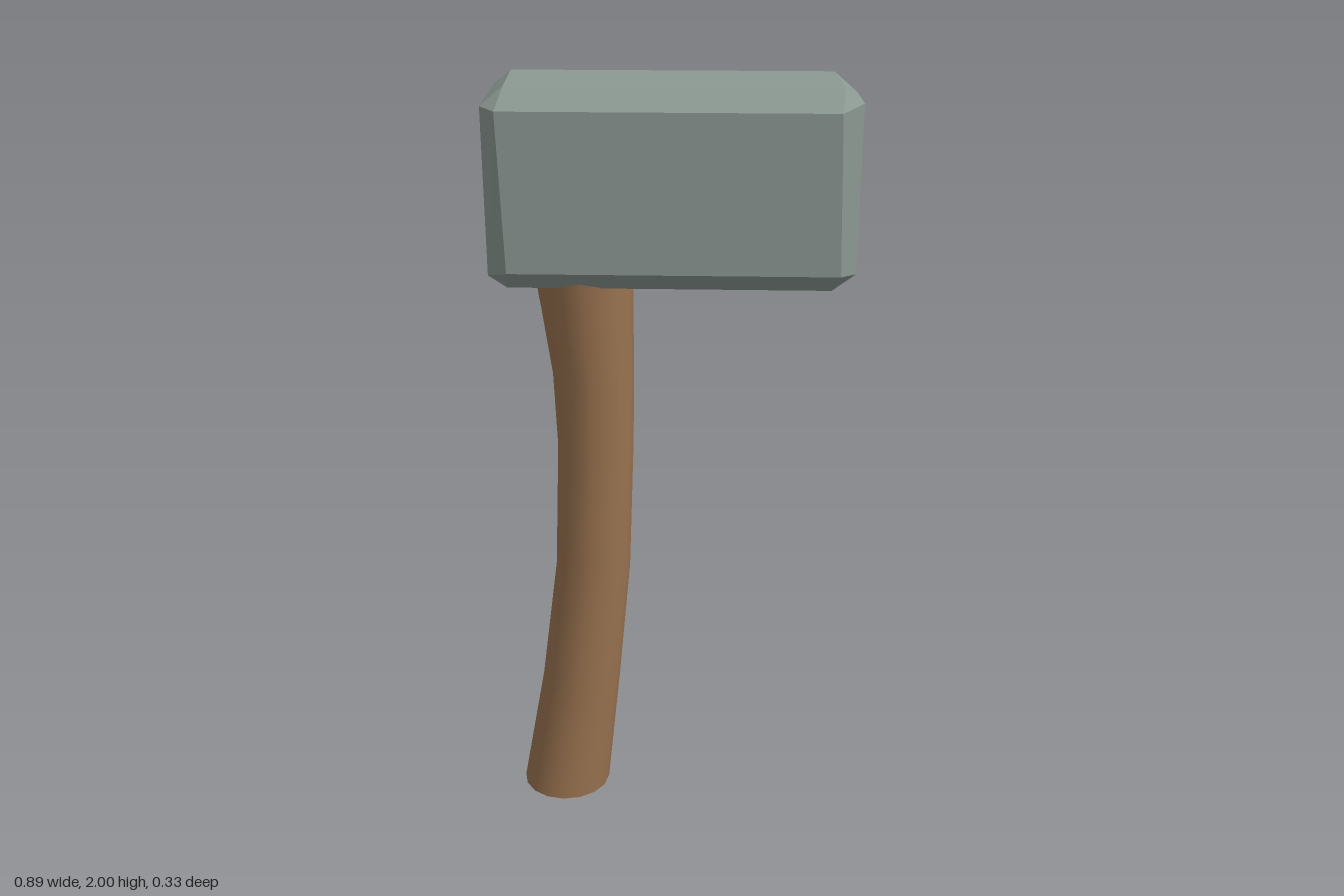
import * as THREE from 'three';
import { toCreasedNormals } from 'three/addons/utils/BufferGeometryUtils.js';
import { ConvexGeometry } from 'three/addons/geometries/ConvexGeometry.js';

const stone = new THREE.MeshStandardMaterial({ color: 0x8c9993 });
stone.name = 'grey stone';
const wood = new THREE.MeshStandardMaterial({ color: 0x9a7350 });
wood.name = 'brown wood';

// Handle stations: height, left edge x, right edge x, half depth
const STATIONS = [
  [0, -0.43, -0.187, 0.118],
  [0.35, -0.365, -0.15, 0.11],
  [0.7, -0.318, -0.117, 0.101],
  [1.05, -0.303, -0.104, 0.1],
  [1.25, -0.31, -0.1, 0.107],
  [1.42, -0.333, -0.1, 0.119],
  [1.6, -0.36, -0.1, 0.133],
];

// Bent handle: a cylinder whose rings follow the stations
function createHandle() {
  const rows = STATIONS.length - 1;
  const geometry = new THREE.CylinderGeometry(1, 1, rows, 16, rows);
  const pos = geometry.attributes.position;
  for (let i = 0; i < pos.count; i++) {
    const [y, x0, x1, depth] = STATIONS[Math.round(pos.getY(i) + rows / 2)];
    pos.setXYZ(i, (x0 + x1) / 2 + pos.getX(i) * (x1 - x0) / 2, y, pos.getZ(i) * depth);
  }
  const mesh = new THREE.Mesh(toCreasedNormals(geometry, 0.9), wood);
  mesh.name = 'handle';
  return mesh;
}

// Roughly chamfered block: three points near each corner, slightly uneven
function createHead() {
  const X = 0.445, Y = 0.2425, Z = 0.167, midY = 1.7575;
  const points = [];
  for (const sx of [-1, 1]) for (const sy of [-1, 1]) for (const sz of [-1, 1]) {
    const wear = 0.006 * sx * sy * sz;
    const endZ = sx > 0 && sy > 0 && sz < 0 ? 0.1 : 0.125;
    points.push(
      new THREE.Vector3(sx * X, midY + sy * (Y - 0.04 + wear), sz * endZ),
      new THREE.Vector3(sx * (0.395 + wear), midY + sy * Y, sz * 0.113),
      new THREE.Vector3(sx * (0.4 - wear), midY + sy * (Y - 0.05), sz * Z),
    );
  }
  const mesh = new THREE.Mesh(new ConvexGeometry(points), stone);
  mesh.name = 'hammerHead';
  return mesh;
}

export function createModel() {
  const model = new THREE.Group();
  model.name = 'hammer';
  model.add(createHandle(), createHead());
  return model;
}
